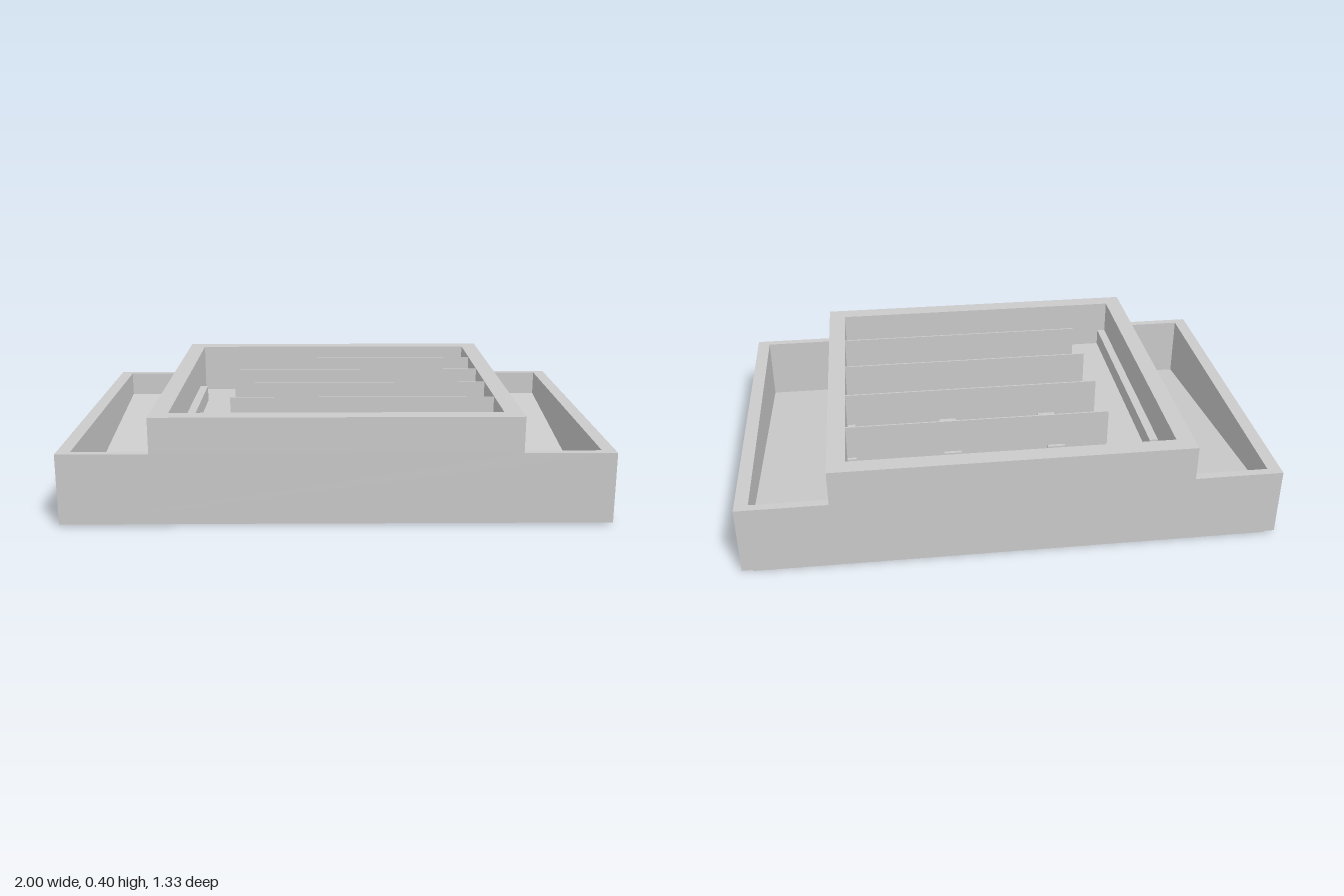
import * as THREE from 'three';

const material = new THREE.MeshStandardMaterial({ color: 0xcccccc, flatShading: true });

// Closed outline from [x, y] pairs
const outline = (points) => new THREE.Shape(points.map(([x, y]) => new THREE.Vector2(x, y)));
const extrude = (shape, depth) => new THREE.ExtrudeGeometry(shape, { depth, bevelEnabled: false });

export function createModel() {
  const tray = new THREE.Group();
  tray.name = 'organizerTray';

  const add = (name, geometry, x = 0, y = 0, z = 0) => {
    const mesh = new THREE.Mesh(geometry, material);
    mesh.position.set(x, y, z);
    mesh.name = name;
    tray.add(mesh);
  };

  // Box given by its min and max on each axis
  const box = (name, x0, x1, y0, y1, z0, z1) =>
    add(name, new THREE.BoxGeometry(x1 - x0, y1 - y0, z1 - z0), (x0 + x1) / 2, (y0 + y1) / 2, (z0 + z1) / 2);

  const depth = 0.667, inner = 0.634;   // half depth outside and inside the long walls
  const bottom = 0.005, low = 0.268, high = 0.402;
  const shelf = 0.133, floor = 0.2;     // underside and floor of the upper tray

  // Flat base panel
  box('basePanel', -0.96, 0.96, 0, 0.015, -depth, 0.65);

  // Sloping floor of the side compartments, rising from front to back
  const slope = outline([[-inner, 0.005], [inner, 0.005], [inner, 0.168], [-inner, 0.017]]);
  add('slopingFloor', extrude(slope, 1.9).rotateY(Math.PI / 2), -0.95);

  // Stepped front and back walls
  const stepped = extrude(outline([
    [-1, bottom], [1, bottom], [1, low], [0.667, low],
    [0.667, high], [-0.667, high], [-0.667, low], [-1, low],
  ]), depth - inner);
  add('frontWall', stepped, 0, 0, inner);
  add('backWall', stepped, 0, 0, -depth);

  // Low outer end walls
  box('leftEndWall', 0.95, 1, bottom, low, -inner, inner);
  box('rightEndWall', -1, -0.95, bottom, low, -inner, inner);

  // Upper tray: frame and flat floor
  const frame = outline([[-0.667, -inner], [0.667, -inner], [0.667, inner], [-0.667, inner]]);
  frame.holes.push(outline([[-0.6, -0.6], [-0.6, 0.6], [0.6, 0.6], [0.6, -0.6]]));
  add('upperTrayFrame', extrude(frame, high - shelf).rotateX(-Math.PI / 2), 0, shelf);
  box('upperTrayFloor', -0.6, 0.6, shelf, floor, -0.6, 0.6);

  // Rails running front to back, rising through the upper floor
  for (const x of [-0.6, -0.2, 0.2, 0.6]) {
    box('rail', x - 0.033, x + 0.033, 0.01, 0.267, -0.38, inner);
  }

  // Thin dividers across the upper tray
  for (const z of [-0.364, -0.121, 0.121, 0.364]) {
    box('divider', -0.4, 0.6, floor, 0.4, z - 0.003, z + 0.003);
  }

  return tray;
}
